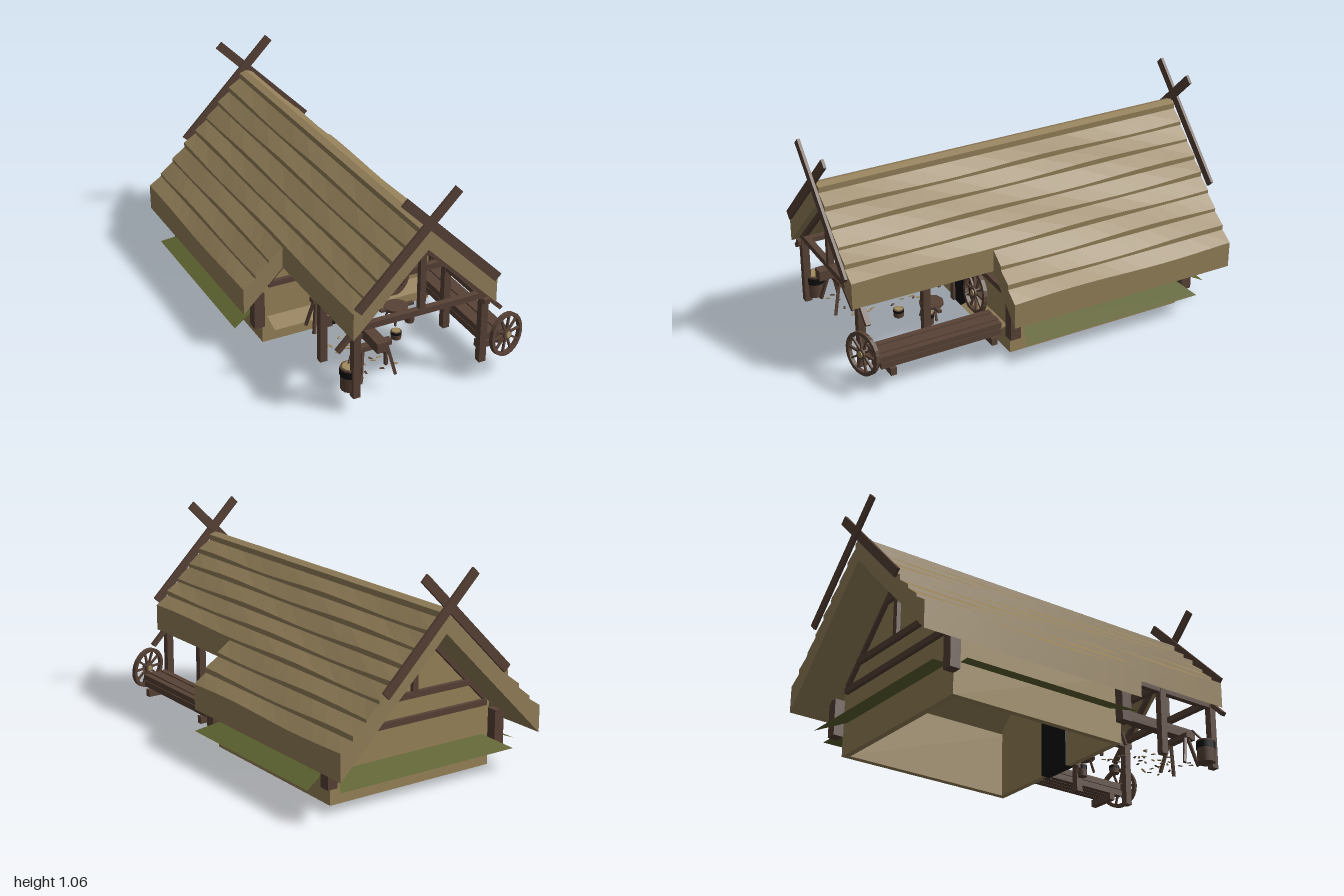
import * as THREE from 'three';

const mat = (name, color, side = THREE.FrontSide) => {
  const m = new THREE.MeshStandardMaterial({ color, side });
  m.name = name;
  return m;
};

export function createModel() {
  const root = new THREE.Group();
  root.name = 'thatchedHouse';
  const thatch = mat('thatch', 0x94805a);
  const daub = mat('daub', 0x988459);
  const wood = mat('darkWood', 0x584236);
  const grass = mat('grass', 0x5f6331, THREE.DoubleSide);
  const earth = mat('earth', 0x94805a, THREE.DoubleSide);
  const black = mat('black', 0x101010);
  const paleWood = mat('paleWood', 0xa08c5c);

  const add = (name, geo, material, x = 0, y = 0, z = 0, parent = root) => {
    const m = new THREE.Mesh(geo, material);
    m.name = name;
    m.position.set(x, y, z);
    parent.add(m);
    return m;
  };
  const group = (name, x = 0, y = 0, z = 0) => {
    const g = new THREE.Group();
    g.name = name;
    g.position.set(x, y, z);
    root.add(g);
    return g;
  };
  // box given by its limits
  const block = (name, x0, x1, y0, y1, z0, z1, material = wood, parent = root) =>
    add(name, new THREE.BoxGeometry(x1 - x0, y1 - y0, z1 - z0), material,
      (x0 + x1) / 2, (y0 + y1) / 2, (z0 + z1) / 2, parent);
  // square bar between two points
  const bar = (name, a, b, w, d, material = wood, parent = root) => {
    const p = new THREE.Vector3(...a), q = new THREE.Vector3(...b);
    const m = add(name, new THREE.BoxGeometry(w, p.distanceTo(q), d), material, 0, 0, 0, parent);
    m.position.copy(p).add(q).multiplyScalar(0.5);
    m.quaternion.setFromUnitVectors(new THREE.Vector3(0, 1, 0), q.sub(p).normalize());
    return m;
  };
  const plate = (points, depth) => {
    const shape = new THREE.Shape(points.map(([x, y]) => new THREE.Vector2(x, y)));
    return new THREE.ExtrudeGeometry(shape, { depth, bevelEnabled: false });
  };

  // Thatch: overlapping courses, each a slab with a wavy lower edge
  const under = x => 0.775 - x;
  const edges = [0, 0.035, 0.1, 0.165, 0.235, 0.3, 0.365, 0.435, 0.505, 0.57];
  const course = (i, side) => {
    const xi = edges[i], xo = edges[i + 1];
    const z0 = -0.965, z1 = xo < 0.37 ? 0.965 : 0.245;
    const geo = new THREE.BoxGeometry(1, 1, 1, 1, 1, 12).toNonIndexed();
    const p = geo.attributes.position;
    for (let k = 0; k < p.count; k++) {
      const u = side > 0 ? p.getX(k) + 0.5 : 0.5 - p.getX(k);
      const x = xi + (xo - xi) * u;
      const z = z0 + (z1 - z0) * (p.getZ(k) + 0.5);
      const wave = i === 0 ? 0 : 0.006 * u * Math.sin(z * 6 + i * 1.7 + side);
      const top = i === 0 ? 0.89 - 0.012 * u : 0.885 - xi + u * (0.02 + xi - xo) + wave;
      p.setXYZ(k, side * x, p.getY(k) > 0 ? top : under(x), z);
    }
    geo.computeVertexNormals();
    add('thatchCourse', geo, thatch);
  };
  for (const side of [1, -1]) for (let i = 0; i < edges.length - 1; i++) course(i, side);

  // Walls, open underneath
  for (const s of [1, -1])
    block('sideWall', s * 0.445 - 0.015, s * 0.445 + 0.015, 0, 0.33, -0.73, 0.205, daub);
  const gable = [[-0.46, 0], [0.46, 0], [0.46, 0.315], [0, 0.775], [-0.46, 0.315]];
  add('frontWall', plate(gable, 0.03), daub, 0, 0, 0.178);
  add('backWall', plate(gable, 0.03), daub, 0, 0, -0.735);
  const vent = [[-0.08, 0.68], [0.08, 0.68], [0, 0.76]];
  add('frontVent', plate(vent, 0.04), black, 0, 0, 0.173);
  add('backVent', plate(vent, 0.04), black, 0, 0, -0.74);

  // Doorway
  block('door', -0.093, 0.093, 0, 0.28, 0.17, 0.218, black);
  for (const s of [1, -1]) block('doorJamb', s * 0.108 - 0.015, s * 0.108 + 0.015, 0, 0.28, 0.2, 0.23);
  block('doorLintel', -0.125, 0.125, 0.28, 0.312, 0.2, 0.23);

  // Roof trusses
  const truss = (z, collar) => {
    const g = group('truss', 0, 0, z);
    block('tieBeam', -0.33, 0.33, 0.425, 0.455, -0.015, 0.015, wood, g);
    block('kingPost', -0.015, 0.015, 0.455, 0.76, -0.014, 0.014, wood, g);
    for (const s of [1, -1]) bar('rafter', [0, 0.763, 0], [s * 0.42, 0.343, 0], 0.02, 0.026, wood, g);
    if (collar) block('collar', -0.1, 0.1, 0.655, 0.68, -0.013, 0.013, wood, g);
  };
  truss(0.915, false);
  truss(0.215, true);
  truss(-0.742, true);
  for (const z of [0.215, -0.742]) block('wallBeam', -0.43, 0.43, 0.308, 0.337, z - 0.014, z + 0.014);

  // Porch posts, wall plates and house corner posts
  for (const s of [1, -1]) {
    const x = s * 0.328;
    for (const z of [0.915, 0.585]) block('porchPost', x - 0.018, x + 0.018, 0.08, 0.42, z - 0.018, z + 0.018);
    block('wallPlate', x - 0.015, x + 0.015, 0.4, 0.425, 0.2, 0.95);
    for (const z of [0.205, -0.76]) block('cornerPost', s * 0.483 - 0.027, s * 0.483 + 0.027, 0.1, 0.285, z - 0.027, z + 0.027);
  }
  block('middleTieBeam', -0.33, 0.33, 0.425, 0.455, 0.57, 0.6);

  // Crossed gable boards
  for (const e of [1, -1]) for (const s of [1, -1]) {
    const z = e * (s > 0 ? 0.973 : 0.987);
    bar('gableBoard', [s * -0.35, 0.558, z], [s * 0.138, 1.046, z], 0.045, 0.014);
  }

  // Sloping earth banks around the walls
  const bank = (name, pts, material) => {
    const geo = new THREE.BufferGeometry();
    geo.setAttribute('position', new THREE.Float32BufferAttribute(pts.flat(), 3));
    geo.setIndex([0, 1, 2, 0, 2, 3]);
    geo.computeVertexNormals();
    add(name, geo, material);
  };
  for (const s of [1, -1]) {
    const a = [s * 0.46, 0.16, 0.14], b = [s * 0.6, 0.112, 0.2];
    const c = [s * 0.6, 0.112, -0.76], d = [s * 0.46, 0.16, -0.7];
    bank('sideBank', s > 0 ? [a, b, c, d] : [d, c, b, a], grass);
    const f = [[0.13, 0.14, 0.21], [0.13, 0.112, 0.3], [0.435, 0.112, 0.3], [0.435, 0.14, 0.21]]
      .map(([x, y, z]) => [s * x, y, z]);
    bank('frontBank', s > 0 ? f : f.reverse(), earth);
  }
  bank('backBank', [[-0.42, 0.16, -0.735], [0.42, 0.16, -0.735], [0.5, 0.112, -0.87], [-0.5, 0.112, -0.87]], grass);

  // Spoked wheels
  const wheel = (x, y, z, ry, rx) => {
    const g = group('wheel', x, y, z);
    g.rotation.set(rx, ry, 0, 'YXZ');
    const ring = new THREE.Shape().absarc(0, 0, 0.106, 0, Math.PI * 2);
    ring.holes.push(new THREE.Path().absarc(0, 0, 0.088, 0, Math.PI * 2, true));
    add('rim', new THREE.ExtrudeGeometry(ring, { depth: 0.02, bevelEnabled: false, curveSegments: 12 }), wood, 0, 0, -0.01, g);
    for (let i = 0; i < 10; i++) {
      const a = i * Math.PI / 5, c = Math.cos(a), s = Math.sin(a);
      bar('spoke', [c * 0.012, s * 0.012, 0], [c * 0.092, s * 0.092, 0], 0.01, 0.01, wood, g);
    }
    add('hub', new THREE.CylinderGeometry(0.026, 0.026, 0.028, 10).rotateX(Math.PI / 2), wood, 0, 0, 0, g);
    add('hubCap', new THREE.CylinderGeometry(0.015, 0.015, 0.04, 10).rotateX(Math.PI / 2), paleWood, 0, 0, 0, g);
  };
  wheel(0.205, 0.215, 0.26, 0, -0.12);
  wheel(0.435, 0.215, 0.955, 0.3, -0.1);

  // Stacked planks on bearers
  for (let i = 0; i < 4; i++) {
    const x = 0.36 + i * 0.033;
    block('plank', x, x + 0.03, 0.172, 0.205 - (i % 2) * 0.004, 0.27, 0.9);
    block('plank', x, x + 0.03, 0.138, 0.169, 0.275, 0.91 - (i % 2) * 0.02);
  }
  for (const z of [0.315, 0.835]) block('bearer', 0.35, 0.505, 0.1, 0.137, z - 0.015, z + 0.015);

  // Trestles carrying a squared log
  for (const z of [0.82, 0.35]) {
    block('trestleTop', -0.267, -0.1, 0.245, 0.27, z - 0.018, z + 0.018);
    for (const s of [1, -1]) for (const e of [1, -1])
      bar('trestleLeg', [-0.185 + s * 0.062, 0.25, z + e * 0.008], [-0.185 + s * 0.09, 0.1, z + e * 0.045], 0.014, 0.014);
  }
  block('squaredLog', -0.215, -0.16, 0.268, 0.318, 0.29, 0.91);

  // Buckets and barrel with dark bands
  const tub = (name, x, z, r, h) => {
    const g = group(name, x, 0.1, z);
    add('staves', new THREE.CylinderGeometry(r, r * 0.95, h, 12), wood, 0, h / 2, 0, g);
    add('band', new THREE.CylinderGeometry(r * 1.03, r * 1.03, h * 0.3, 12), black, 0, h * 0.78, 0, g);
    add('contents', new THREE.CylinderGeometry(r * 0.8, r * 0.8, 0.006, 12), paleWood, 0, h, 0, g);
  };
  tub('barrel', -0.33, 0.87, 0.048, 0.115);
  tub('smallBucket', 0.055, 0.6, 0.026, 0.04);
  tub('bucket', 0.185, 0.5, 0.024, 0.06);
  bar('toolHandle', [-0.34, 0.2, 0.86], [-0.29, 0.275, 0.82], 0.008, 0.008);

  // Low work table
  add('tableTop', new THREE.CylinderGeometry(0.06, 0.06, 0.015, 10), wood, 0.13, 0.175, 0.46);
  block('tableBar', 0.045, 0.225, 0.167, 0.18, 0.45, 0.47);
  for (let i = 0; i < 3; i++) {
    const a = i * Math.PI * 2 / 3, c = Math.cos(a), s = Math.sin(a);
    bar('tableLeg', [0.13 + c * 0.035, 0.17, 0.46 + s * 0.035], [0.13 + c * 0.055, 0.1, 0.46 + s * 0.055], 0.01, 0.01);
  }

  // Wood chips scattered on the porch ground
  let seed = 7;
  const rnd = () => (seed = (seed * 16807) % 2147483647) / 2147483647;
  for (let i = 0; i < 36; i++) {
    const chip = add('woodChip', new THREE.BoxGeometry(0.022, 0.003, 0.009), i % 3 ? paleWood : wood,
      -0.27 + rnd() * 0.24, 0.105, 0.42 + rnd() * 0.42);
    chip.rotation.y = rnd() * 3;
  }
  return root;
}
